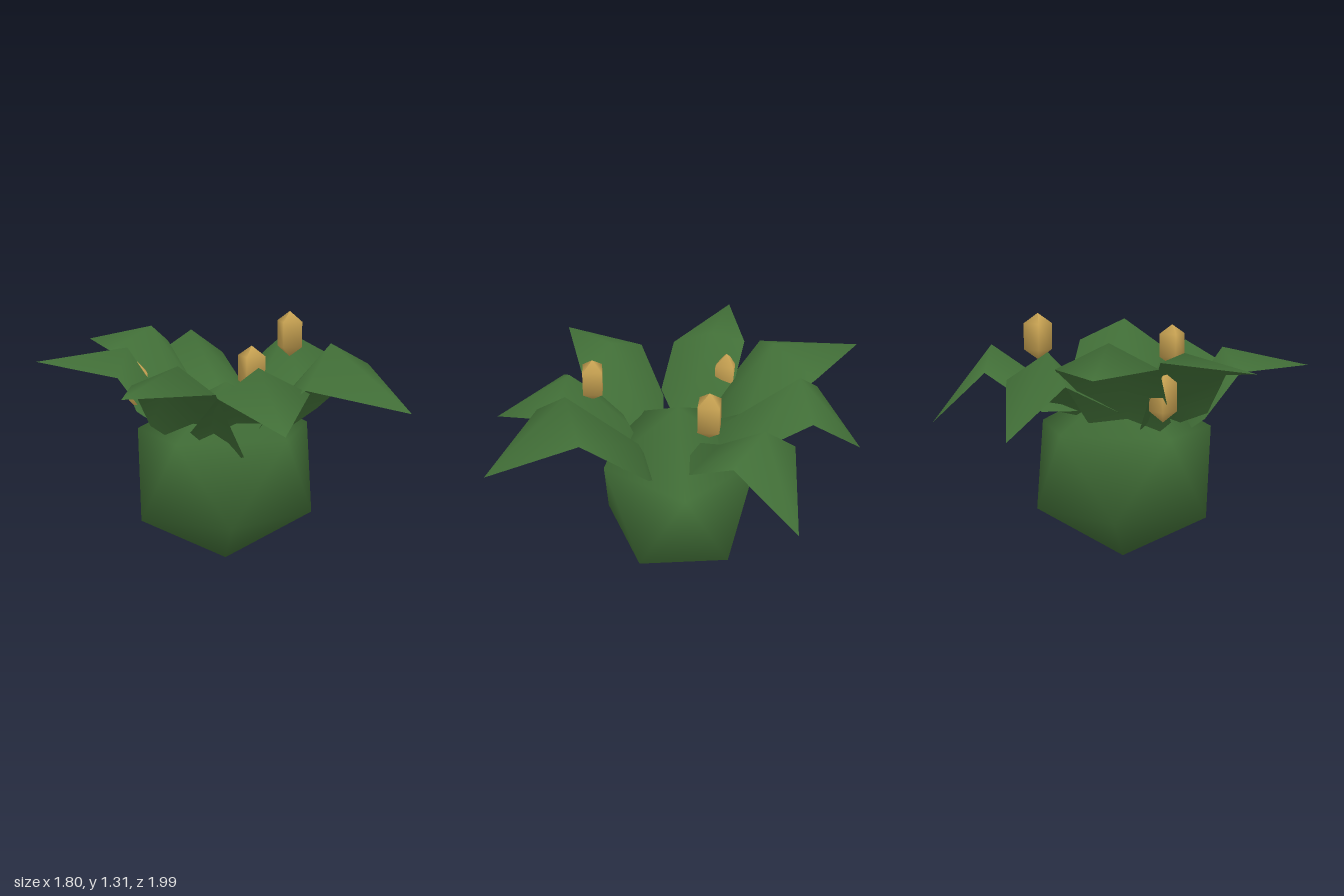
import * as THREE from 'three';

const leafGreen = new THREE.MeshStandardMaterial({ color: 0x416e37, side: THREE.DoubleSide });
leafGreen.name = 'leafGreen';
const seedGold = new THREE.MeshStandardMaterial({ color: 0xcaa453 });
seedGold.name = 'seedGold';

// Smooth indexed surface from a short list of points
function surface(points, index) {
  const g = new THREE.BufferGeometry();
  g.setAttribute('position', new THREE.Float32BufferAttribute(points.flat(), 3));
  g.setIndex(index);
  g.computeVertexNormals();
  return g;
}

function addMesh(group, name, geometry, material) {
  const mesh = new THREE.Mesh(geometry, material);
  mesh.name = name;
  group.add(mesh);
  return mesh;
}

// Bulb: two staggered five-sided rings closed by points at the top and bottom
function bulbGeometry() {
  const cx = 0.03, sides = 5, points = [], index = [];
  const top = 10, bottom = 11;
  for (const [y, offset, rx, rz] of [[0.71, 0, 0.5, 0.42], [0.265, Math.PI / 5, 0.495, 0.395]]) {
    for (let i = 0; i < sides; i++) {
      const a = offset + (i * 2 * Math.PI) / sides;
      points.push([cx + rx * Math.cos(a), y, rz * Math.sin(a)]);
    }
  }
  points.push([cx, 0.97, 0], [cx, 0, 0]);
  for (let i = 0; i < sides; i++) {
    const n = (i + 1) % sides, low = i + sides, lowNext = n + sides;
    index.push(top, n, i, i, n, low, low, n, lowNext, low, lowNext, bottom);
  }
  return surface(points, index);
}

// Leaf: a hidden root, a lower row, a wide folded row and a pointed tip
function leafGeometry({ tip, wide, low, rootHeight }) {
  const [lowA, lowB] = low;
  const inward = 0.43;
  const spine = [
    inward * (lowA[0] + lowB[0]),
    (lowA[1] + lowB[1]) / 2 + 0.08,
    inward * (lowA[2] + lowB[2]),
  ];
  const reach = Math.hypot(tip[0], tip[2]);
  const root = [(0.12 * tip[0]) / reach, rootHeight, (0.12 * tip[2]) / reach];
  const points = [root, lowA, spine, lowB, ...wide, tip];
  const index = [0, 2, 1, 0, 3, 2];
  for (const i of [1, 2]) {
    index.push(i, i + 1, i + 4, i, i + 4, i + 3);
    index.push(i + 3, i + 4, 7);
  }
  return surface(points, index);
}

// Each leaf: tip, wide row (edge, ridge, edge), lower row (edge, edge)
const leaves = {
  frontLeaf: {
    tip: [-0.13, 0.86, 0.95],
    wide: [[-0.31, 1.0, 0.59], [-0.07, 1.13, 0.56], [0.16, 1.0, 0.67]],
    low: [[-0.32, 0.78, 0.3], [0.25, 0.74, 0.3]],
    rootHeight: 0.55,
  },
  frontLeftLeaf: {
    tip: [0.55, 0.92, 0.99],
    wide: [[0.1, 1.03, 0.73], [0.33, 1.23, 0.58], [0.59, 1.1, 0.52]],
    low: [[0.07, 0.79, 0.33], [0.49, 0.82, 0.18]],
    rootHeight: 0.55,
  },
  leftLeaf: {
    tip: [0.9, 0.74, -0.52],
    wide: [[0.77, 1.05, -0.21], [0.61, 1.16, -0.38], [0.55, 1.03, -0.54]],
    low: [[0.51, 0.86, -0.02], [0.28, 0.83, -0.42]],
    rootHeight: 0.8,
  },
  backLeaf: {
    tip: [0.16, 0.76, -0.95],
    wide: [[0.34, 1.02, -0.66], [0.12, 1.17, -0.62], [-0.05, 1.02, -0.74]],
    low: [[0.33, 0.82, -0.28], [-0.08, 0.83, -0.25]],
    rootHeight: 0.75,
  },
  backRightLeaf: {
    tip: [-0.35, 1.1, -1.0],
    wide: [[0.02, 1.1, -0.72], [-0.17, 1.22, -0.52], [-0.43, 1.1, -0.48]],
    low: [[0.08, 0.78, -0.3], [-0.38, 0.8, -0.25]],
    rootHeight: 0.55,
  },
  rightLeaf: {
    tip: [-0.9, 1.09, -0.36],
    wide: [[-0.39, 1.12, -0.39], [-0.44, 1.155, -0.22], [-0.58, 1.03, -0.02]],
    low: [[-0.22, 0.76, -0.28], [-0.44, 0.81, 0.06]],
    rootHeight: 0.68,
  },
  frontRightLeaf: {
    tip: [-0.8, 1.03, 0.56],
    wide: [[-0.58, 1.02, 0.16], [-0.4, 1.13, 0.33], [-0.27, 1.0, 0.49]],
    low: [[-0.43, 0.78, 0.05], [-0.05, 0.64, 0.37]],
    rootHeight: 0.55,
  },
};

// Seed: four-sided column pointed at both ends
function seedGeometry(radius, height) {
  const profile = [[0, -0.5], [radius, -0.28], [radius, 0.28], [0, 0.5]];
  return new THREE.LatheGeometry(profile.map(([r, y]) => new THREE.Vector2(r, y * height)), 4);
}

export function createModel() {
  const model = new THREE.Group();
  model.name = 'leafyBulb';

  addMesh(model, 'bulb', bulbGeometry(), leafGreen);
  for (const [name, leaf] of Object.entries(leaves)) {
    addMesh(model, name, leafGeometry(leaf), leafGreen);
  }

  const seeds = [
    ['leftSeed', [0.483, 1.185, -0.12], 0.076, 0.25, 0.6],
    ['frontSeed', [-0.045, 1.11, 0.44], 0.072, 0.23, 0.75],
    ['rightSeed', [-0.355, 0.935, -0.29], 0.07, 0.26, 0.45],
  ];
  for (const [name, position, radius, height, turn] of seeds) {
    const seed = addMesh(model, name, seedGeometry(radius, height), seedGold);
    seed.position.set(...position);
    seed.rotation.y = turn;
  }
  return model;
}
